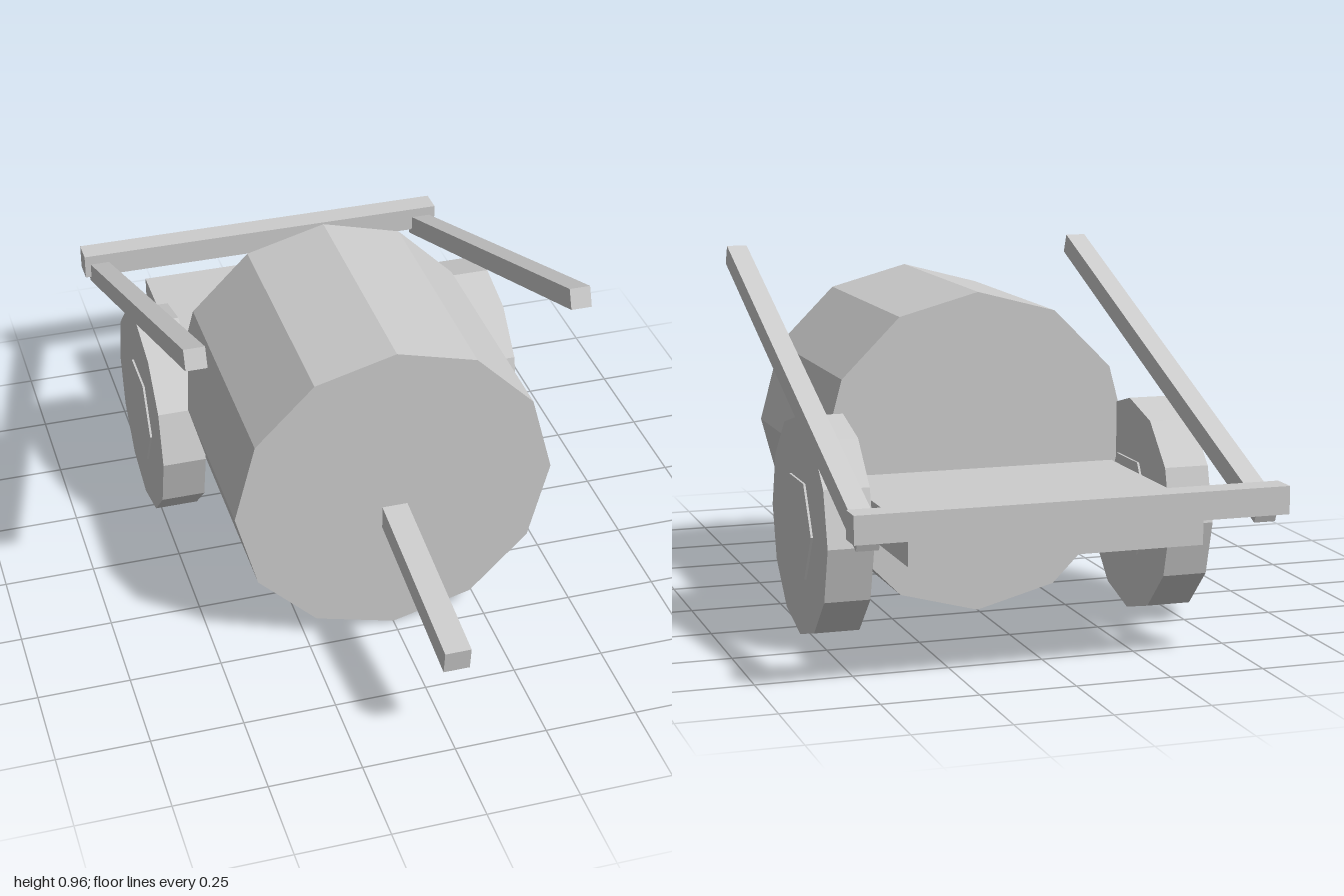
import * as THREE from 'three';

export function createModel() {
  const model = new THREE.Group();
  model.name = 'barrelCart';
  const grey = new THREE.MeshStandardMaterial({ color: 0xcccccc, flatShading: true });
  grey.name = 'plain grey';

  const add = (name, geometry, x, y, z, tilt = 0) => {
    const mesh = new THREE.Mesh(geometry, grey);
    mesh.name = name;
    mesh.position.set(x, y, z);
    mesh.rotation.x = tilt;
    model.add(mesh);
  };
  const box = (w, h, d) => new THREE.BoxGeometry(w, h, d);

  // Twelve-sided barrel lying along z
  add('barrel', new THREE.CylinderGeometry(0.44, 0.44, 0.69, 12).rotateX(Math.PI / 2), 0, 0.442, 0.115);

  // Rear platform, tucked into the barrel's back
  add('platform', box(0.78, 0.1, 0.665), 0, 0.349, -0.5325);

  // Tow pole sloping down to the front
  add('towPole', box(0.07, 0.066, 0.62), 0, 0.336, 0.688, 0.134);

  // Wheels, hubs and sloping side rails
  for (const [side, s] of [['left', 1], ['right', -1]]) {
    add(side + 'Wheel', new THREE.CylinderGeometry(0.293, 0.293, 0.122, 12).rotateZ(Math.PI / 2), s * 0.465, 0.295, -0.325);
    add(side + 'Hub', new THREE.CylinderGeometry(0.147, 0.147, 0.134, 6).rotateZ(Math.PI / 2), s * 0.465, 0.295, -0.325);
    add(side + 'Rail', box(0.057, 0.056, 1.479), s * 0.517, 0.664, -0.276, -0.3724);
  }

  // Crossbar joining the rails at the back
  add('crossbar', box(1.126, 0.072, 0.07), 0, 0.431, -0.965);

  return model;
}
